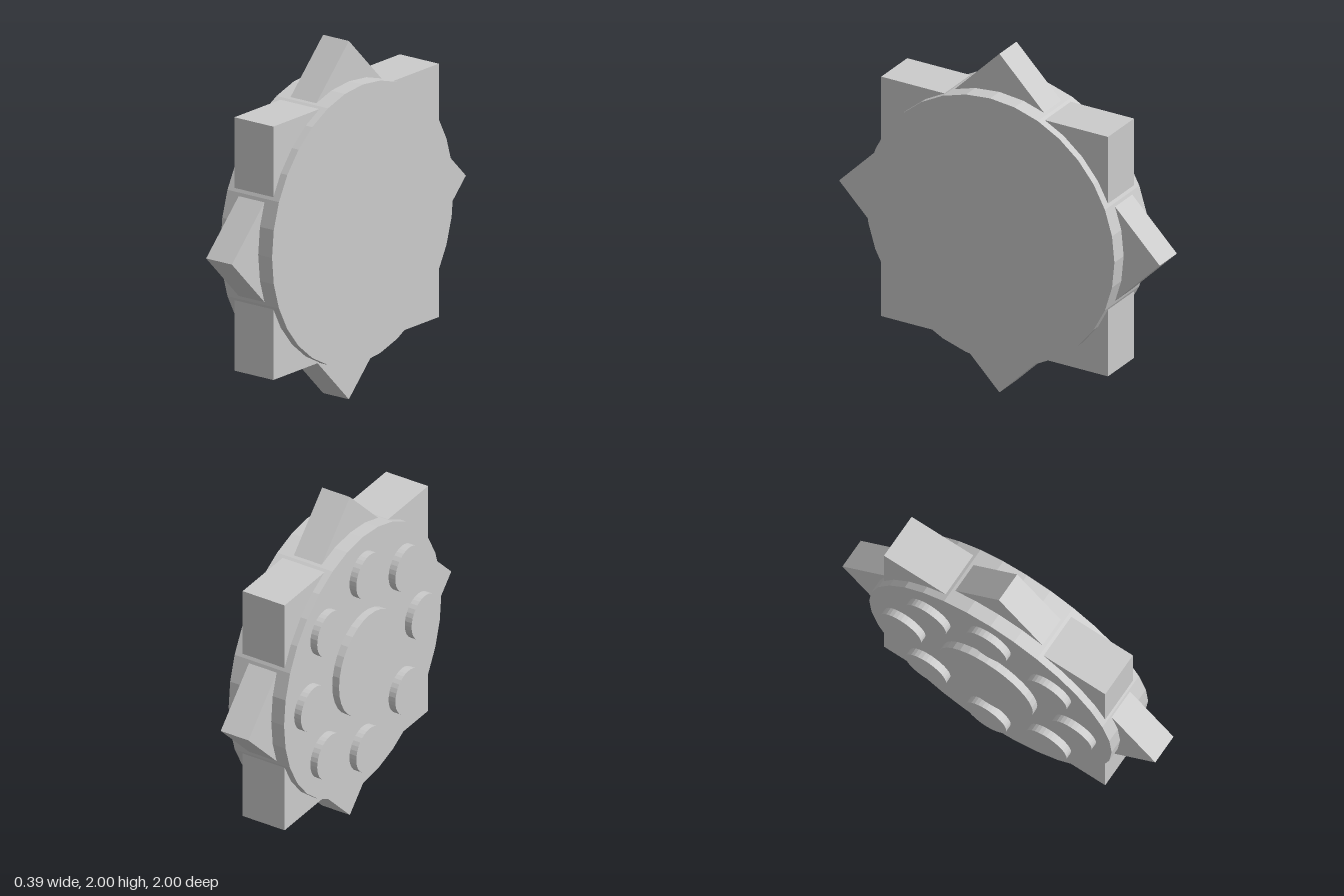
import * as THREE from 'three';

const material = new THREE.MeshStandardMaterial({ color: 0xcccccc, flatShading: true });

export function createModel() {
  const model = new THREE.Group();
  model.name = 'toothedDisc';

  function add(name, geometry, x0, x1, y = 1, z = 0) {
    const mesh = new THREE.Mesh(geometry, material);
    mesh.name = name;
    mesh.position.set((x0 + x1) / 2, y, z);
    model.add(mesh);
    return mesh;
  }

  // Disc lying across the x axis, from x0 to x1
  function addDisc(name, radius, x0, x1, y, z) {
    const geometry = new THREE.CylinderGeometry(radius, radius, x1 - x0, 32).rotateZ(Math.PI / 2);
    return add(name, geometry, x0, x1, y, z);
  }

  // Square plate whose corners form four teeth
  function addPlate(name, x0, x1, turn) {
    const side = Math.SQRT2;
    add(name, new THREE.BoxGeometry(x1 - x0, side, side), x0, x1).rotation.x = turn;
  }

  addDisc('mainDisc', 0.775, -0.155, 0.195);
  addPlate('squareTeeth', -0.115, 0.15, 0);
  addPlate('diamondTeeth', -0.074, 0.101, Math.PI / 4);

  // Raised hub and ring of studs on the right side
  addDisc('hub', 0.3, -0.198, -0.14);
  for (let i = 0; i < 8; i++) {
    const a = (i * Math.PI) / 4;
    addDisc('stud' + (i + 1), 0.13, -0.198, -0.14, 1 + 0.545 * Math.cos(a), 0.545 * Math.sin(a));
  }

  return model;
}
